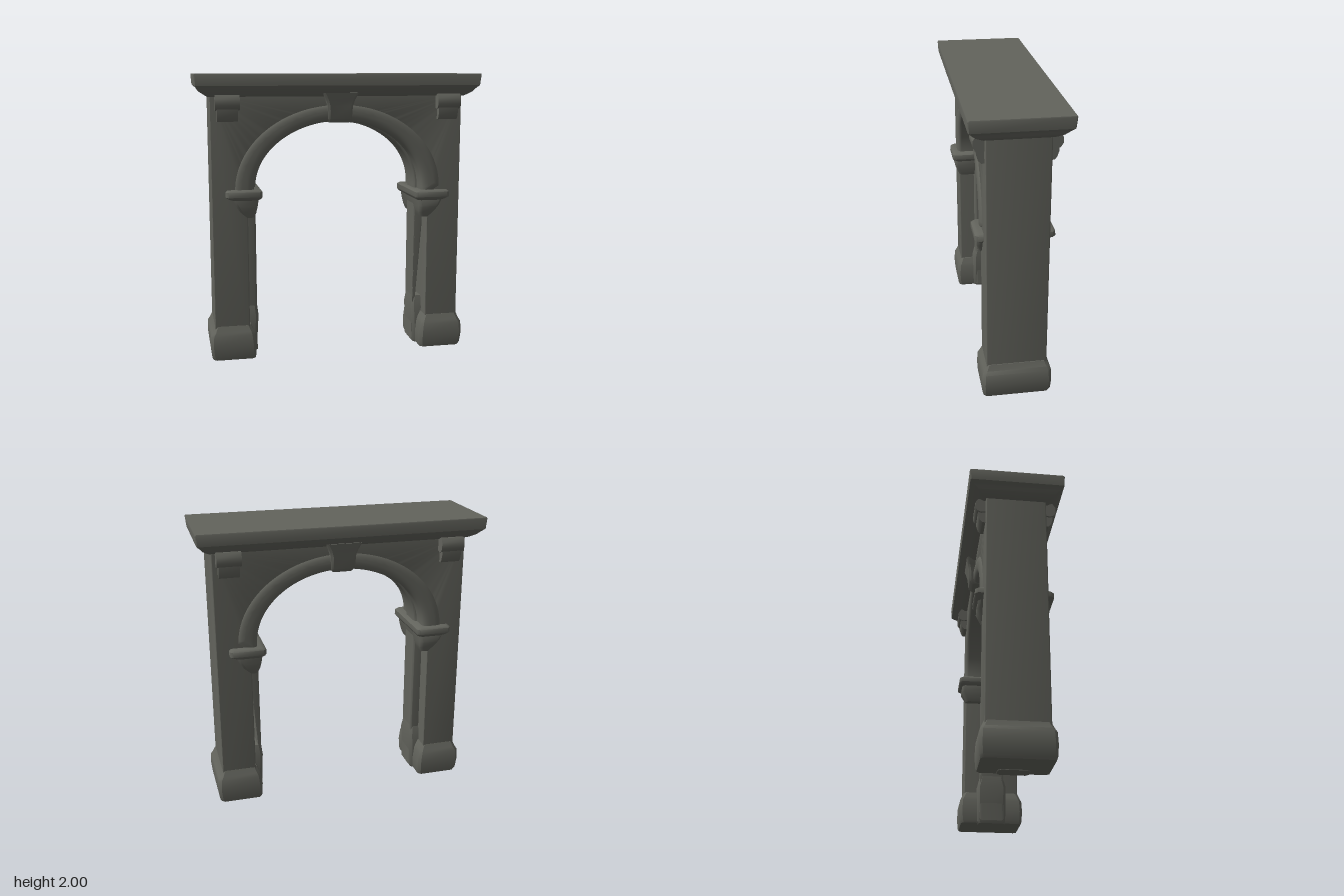
import * as THREE from 'three';
import { toCreasedNormals } from 'three/addons/utils/BufferGeometryUtils.js';

const stone = new THREE.MeshStandardMaterial({ color: 0x62635c });
stone.name = 'dark stone';

const SPRING = 1.2; // height where the arch starts to curve
const SEAT = 1.12; // height where the arch rests, inside the capitals

function add(parent, name, geometry, crease = 0.7) {
  const mesh = new THREE.Mesh(toCreasedNormals(geometry, crease), stone);
  mesh.name = name;
  parent.add(mesh);
}

// Stack of chamfered rectangles: each section is [y, x0, x1, z0, z1], from bottom to top
function loft(sections, c = 0.02) {
  const rings = sections.map(([y, x0, x1, z0, z1]) => [
    [x0, z1 - c], [x0 + c, z1], [x1 - c, z1], [x1, z1 - c],
    [x1, z0 + c], [x1 - c, z0], [x0 + c, z0], [x0, z0 + c],
  ].map(([x, z]) => [x, y, z]));
  const pos = [];
  const tri = (...points) => points.forEach((p) => pos.push(...p));
  for (let s = 0; s < rings.length - 1; s++) {
    for (let i = 0; i < 8; i++) {
      const j = (i + 1) % 8;
      const a = rings[s][i], b = rings[s][j], d = rings[s + 1][i], e = rings[s + 1][j];
      tri(a, b, e);
      tri(a, e, d);
    }
  }
  const low = rings[0], high = rings[rings.length - 1];
  for (let i = 1; i < 7; i++) {
    tri(low[0], low[i + 1], low[i]);
    tri(high[0], high[i], high[i + 1]);
  }
  const g = new THREE.BufferGeometry();
  g.setAttribute('position', new THREE.Float32BufferAttribute(pos, 3));
  return g;
}

// Extrudes a shape to the half depth given, centred on z = 0
function slab(shape, half, bevelDepth, bevelSize) {
  const g = new THREE.ExtrudeGeometry(shape, {
    depth: 2 * (half - bevelDepth), curveSegments: 32, bevelEnabled: true,
    bevelThickness: bevelDepth, bevelSize, bevelOffset: -bevelSize, bevelSegments: 4,
  });
  return g.translate(0, 0, bevelDepth - half);
}

// Wall outline with the arched opening cut up from the floor
function wallShape() {
  const s = new THREE.Shape();
  s.moveTo(0.885, 0.1);
  s.lineTo(0.885, 1.87);
  s.lineTo(-0.89, 1.87);
  s.lineTo(-0.89, 0.1);
  s.lineTo(-0.645, 0.1);
  s.lineTo(-0.645, SEAT);
  s.lineTo(-0.63, SEAT);
  s.absellipse(0, SPRING, 0.63, 0.5, Math.PI, 0, true);
  s.lineTo(0.63, SEAT);
  s.lineTo(0.645, SEAT);
  s.lineTo(0.645, 0.1);
  s.closePath();
  return s;
}

// Arched band between two half ellipses, with straight legs down to y = foot
function bandShape(rxIn, ryIn, rxOut, ryOut, foot) {
  const s = new THREE.Shape();
  s.moveTo(rxOut, foot);
  s.absellipse(0, SPRING, rxOut, ryOut, 0, Math.PI, false);
  s.lineTo(-rxOut, foot);
  s.lineTo(-rxIn, foot);
  s.absellipse(0, SPRING, rxIn, ryIn, Math.PI, 0, true);
  s.lineTo(rxIn, foot);
  s.closePath();
  return s;
}

// Scroll bracket: a side profile (z, y) extruded across x
function bracketPart(points, width, x) {
  const shape = new THREE.Shape(points.map(([z, y]) => new THREE.Vector2(z, y)));
  const g = new THREE.ExtrudeGeometry(shape, { depth: width, bevelEnabled: false });
  return g.rotateY(-Math.PI / 2).translate(x + width / 2, 0, 0);
}

export function createModel() {
  const model = new THREE.Group();
  model.name = 'stoneArchway';

  // Wall, soft wide arch moulding and the rib that lines the opening
  add(model, 'archWall', slab(wallShape(), 0.205, 0.008, 0.008));
  add(model, 'archMoulding', slab(bandShape(0.6, 0.475, 0.74, 0.595, SEAT), 0.219, 0.03, 0.05), 0.9);
  add(model, 'innerRib', slab(bandShape(0.58, 0.465, 0.67, 0.55, 0.02), 0.09, 0.015, 0.015), 0.8);

  // Cornice with a curved underside
  add(model, 'cornice', loft([
    [1.846, -0.905, 0.9, -0.22, 0.22],
    [1.858, -0.925, 0.92, -0.24, 0.24],
    [1.875, -0.95, 0.943, -0.27, 0.27],
    [1.9, -0.965, 0.96, -0.3, 0.298],
    [1.92, -0.99, 0.982, -0.32, 0.316],
    [1.993, -0.996, 0.99, -0.326, 0.32],
    [2.0, -0.993, 0.987, -0.323, 0.317],
  ], 0.006), 0.6);

  // Keystone through the wall
  add(model, 'keystone', loft([
    [1.665, -0.07, 0.07, -0.22, 0.22],
    [1.69, -0.082, 0.082, -0.243, 0.243],
    [1.78, -0.088, 0.088, -0.252, 0.252],
    [1.82, -0.1, 0.1, -0.262, 0.262],
    [1.87, -0.125, 0.125, -0.272, 0.272],
  ], 0.015));

  for (const side of [1, -1]) {
    const label = side > 0 ? 'left' : 'right';
    const span = (y, a, b, z) => [y, Math.min(a * side, b * side), Math.max(a * side, b * side), -z, z];

    // Foot of the pillar, with a small foot under the rib
    add(model, label + 'PillarBase', loft([
      span(0.004, 0.61, 0.905, 0.225),
      span(0.025, 0.605, 0.915, 0.232),
      span(0.1, 0.603, 0.924, 0.237),
      span(0.18, 0.612, 0.92, 0.233),
      span(0.205, 0.62, 0.905, 0.222),
      span(0.245, 0.638, 0.89, 0.206),
    ], 0.02));
    add(model, label + 'RibBase', loft([
      span(0, 0.595, 0.7, 0.1),
      span(0.02, 0.588, 0.7, 0.108),
      span(0.28, 0.572, 0.7, 0.108),
      span(0.36, 0.58, 0.7, 0.088),
    ], 0.02));

    // Capital running through the jamb; one sits a little lower
    const drop = side > 0 ? 0.035 : 0;
    add(model, label + 'Capital', loft([
      span(1.015 - drop, 0.6, 0.67, 0.206),
      span(1.05 - drop, 0.588, 0.695, 0.222),
      span(1.095 - drop, 0.58, 0.725, 0.24),
      span(1.14 - drop, 0.572, 0.75, 0.238),
      span(1.15 - drop, 0.555, 0.775, 0.25),
      span(1.165 - drop, 0.547, 0.797, 0.262),
      span(1.2 - drop, 0.547, 0.797, 0.26),
      span(1.212 - drop, 0.56, 0.785, 0.247),
    ], 0.02), 0.8);

    // Scroll brackets under the cornice, front and back
    for (const face of [1, -1]) {
      const bracket = new THREE.Group();
      bracket.name = label + (face > 0 ? 'FrontBracket' : 'BackBracket');
      bracket.rotation.y = face > 0 ? 0 : Math.PI;
      const x = 0.775 * side * face;
      add(bracket, 'bracketScroll', bracketPart([
        [0.19, 1.86], [0.255, 1.86], [0.275, 1.83], [0.276, 1.79],
        [0.26, 1.765], [0.235, 1.755], [0.19, 1.765],
      ], 0.165, x), 0.8);
      add(bracket, 'bracketFoot', bracketPart([
        [0.19, 1.8], [0.255, 1.8], [0.255, 1.74], [0.243, 1.7], [0.225, 1.68], [0.19, 1.68],
      ], 0.14, x), 0.8);
      model.add(bracket);
    }
  }
  return model;
}
